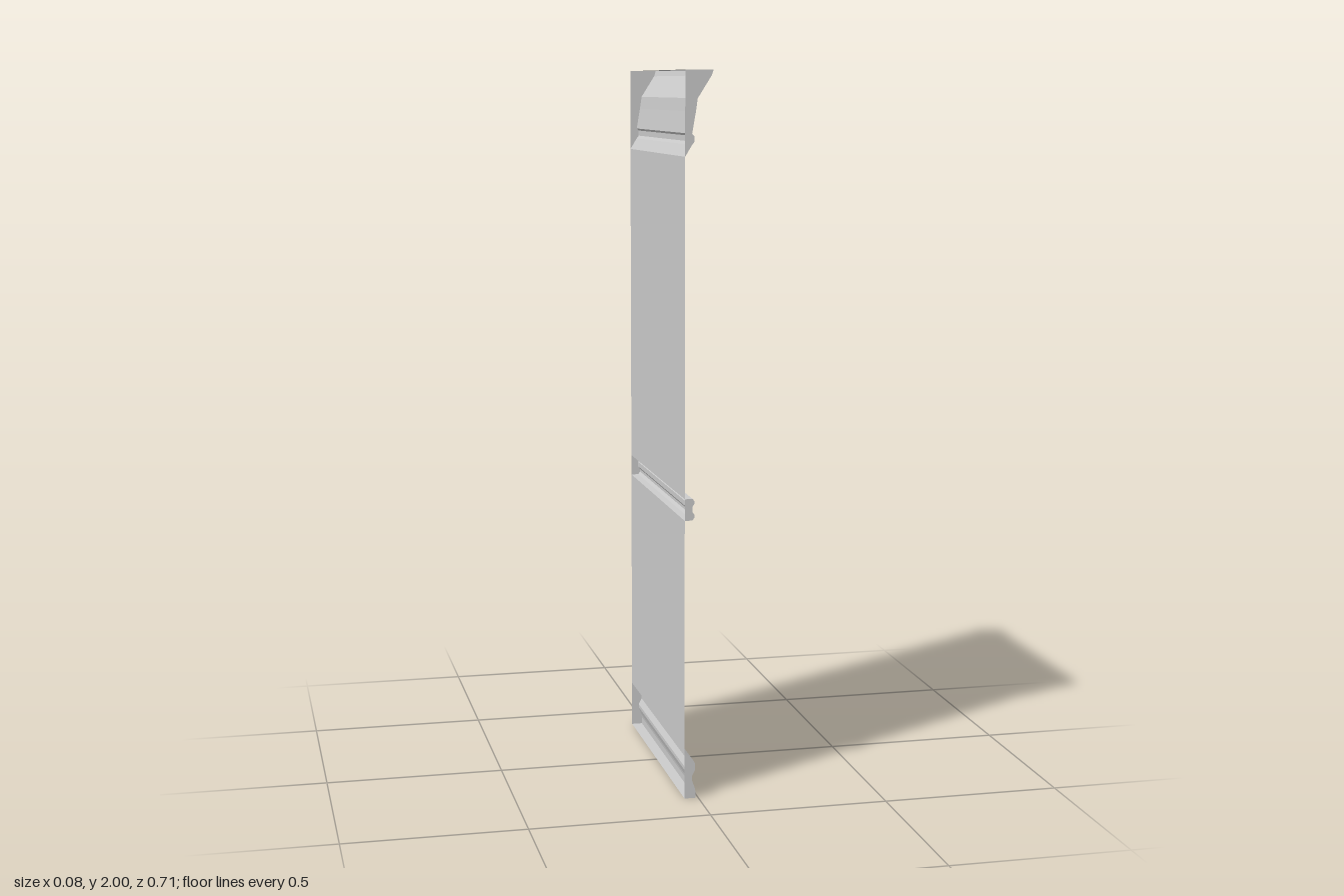
import * as THREE from 'three';

const LENGTH = 0.71;   // run of the wall along z
const BACK = -0.039;   // plane of the wall

const material = new THREE.MeshStandardMaterial({
  color: 0xcccccc, flatShading: true, side: THREE.DoubleSide,
});

// Open-backed surface swept along z; profile [x, y] runs from top to bottom
function sweep(name, profile) {
  const geometry = new THREE.PlaneGeometry(LENGTH, 1, 1, profile.length - 1);
  const pos = geometry.attributes.position;
  for (let i = 0; i < pos.count; i++) {
    const [x, y] = profile[Math.floor(i / 2)];
    pos.setXYZ(i, x, y, -pos.getX(i));
  }
  const flat = geometry.toNonIndexed();
  flat.computeVertexNormals();
  const mesh = new THREE.Mesh(flat, material);
  mesh.name = name;
  return mesh;
}

// Moulding: swept face plus a cap at each end, hollow towards the wall
function moulding(name, profile) {
  const group = new THREE.Group();
  group.name = name;
  group.add(sweep(name + 'Face', profile));
  const shape = new THREE.Shape(profile.map(([x, y]) => new THREE.Vector2(x, y)));
  for (const side of [-1, 1]) {
    const geometry = new THREE.ShapeGeometry(shape);
    if (side < 0) geometry.index.array.reverse();
    geometry.computeVertexNormals();
    const cap = new THREE.Mesh(geometry, material);
    cap.name = name + (side > 0 ? 'FrontCap' : 'BackCap');
    cap.position.z = side * LENGTH / 2;
    group.add(cap);
  }
  return group;
}

export function createModel() {
  const model = new THREE.Group();
  model.name = 'wallPanelling';

  const crown = [
    [BACK, 2], [0.038, 2], [0.033, 1.985], [-0.005, 1.925], [-0.01, 1.89],
    [-0.02, 1.832], [-0.014, 1.826], [-0.014, 1.811], [-0.02, 1.803], [BACK, 1.772],
  ];
  const chairRail = [
    [BACK, 0.848], [-0.017, 0.848], [-0.012, 0.842], [-0.012, 0.834], [-0.018, 0.826],
    [-0.018, 0.812], [-0.012, 0.804], [-0.012, 0.796], [-0.018, 0.788], [BACK, 0.788],
  ];
  const baseboard = [
    [BACK, 0.132], [-0.012, 0.106], [-0.009, 0.1], [-0.009, 0.08], [-0.018, 0.062],
    [-0.018, 0.052], [-0.01, 0.03], [-0.008, 0.02], [-0.008, 0], [BACK, 0],
  ];

  model.add(
    moulding('crownMoulding', crown),
    moulding('chairRail', chairRail),
    moulding('baseboard', baseboard),
    // Thin wall sheets between the mouldings
    sweep('upperPanel', [[BACK, 1.772], [BACK, 0.848]]),
    sweep('lowerPanel', [[BACK, 0.788], [BACK, 0.132]]),
  );
  return model;
}
